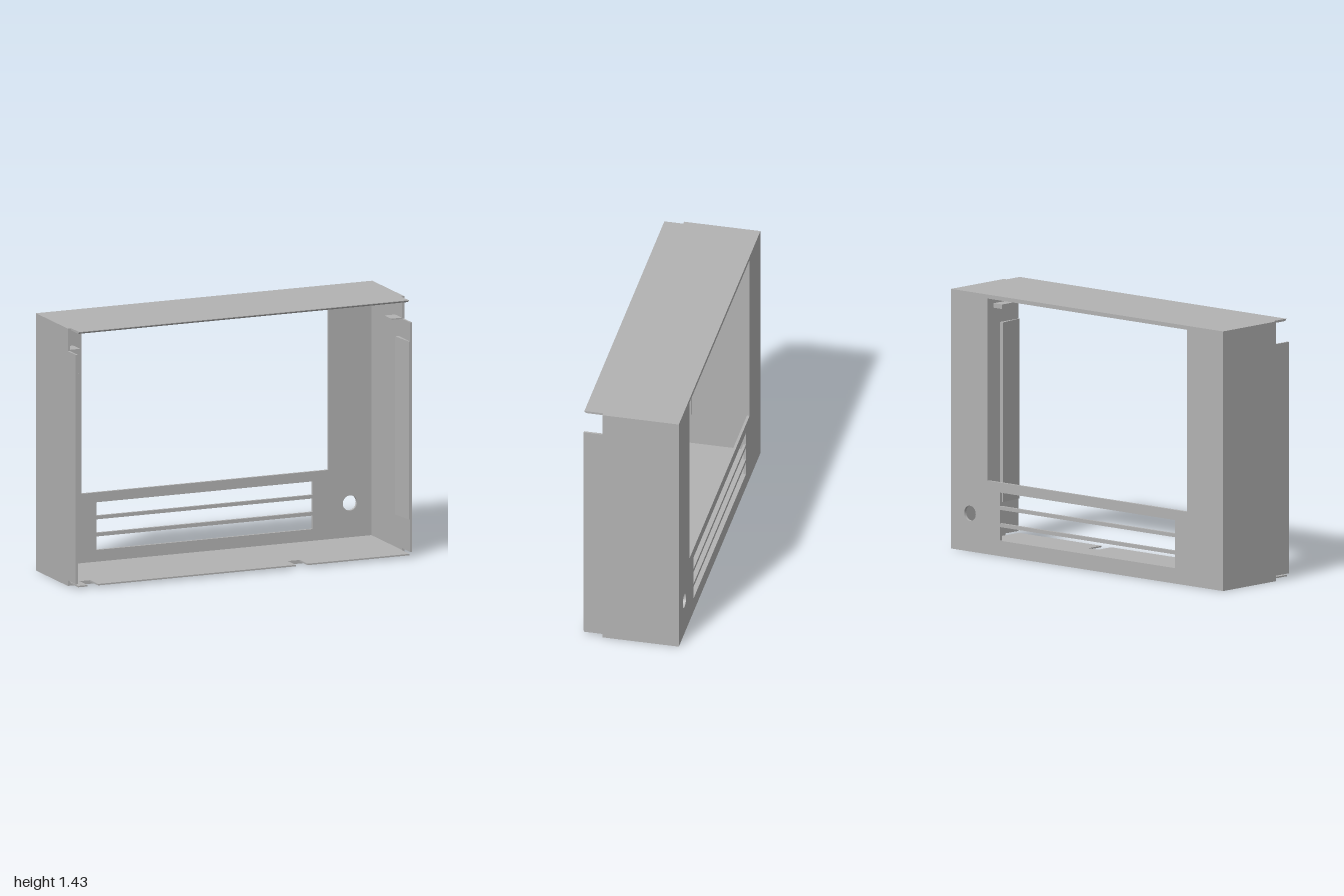
import * as THREE from 'three';

const W = 1, H = 1.43, D = 0.265; // half width, height, half depth
const T = 0.012;                  // wall thickness
const STEP = 0.16;                // where the full-height shell ends

export function createModel() {
  const group = new THREE.Group();
  const grey = new THREE.MeshStandardMaterial({ color: 0xb2b2b2 });
  grey.name = 'plainGrey';

  const add = (name, geometry) => {
    const mesh = new THREE.Mesh(geometry, grey);
    mesh.name = name;
    group.add(mesh);
    return mesh;
  };
  // Box given by its extents on each axis
  const box = (name, x0, x1, y0, y1, z0, z1) => {
    const g = new THREE.BoxGeometry(Math.abs(x1 - x0), y1 - y0, z1 - z0);
    g.translate((x0 + x1) / 2, (y0 + y1) / 2, (z0 + z1) / 2);
    return add(name, g);
  };
  const extrude = (points, depth) => new THREE.ExtrudeGeometry(
    new THREE.Shape(points.map(([a, b]) => new THREE.Vector2(a, b))),
    { depth, bevelEnabled: false });
  // Profile in (z, y), extruded along x from x0 to x1
  const alongX = (name, points, x0, x1) => {
    const g = extrude(points.map(([z, y]) => [-z, y]), x1 - x0);
    g.rotateY(Math.PI / 2).translate(x0, 0, 0);
    return add(name, g);
  };

  // Back panel with screen opening, vent slots and round hole
  const panel = new THREE.Shape();
  panel.moveTo(-W, 0).lineTo(W, 0).lineTo(W, H).lineTo(-W, H).closePath();
  const cutRect = (x0, x1, y0, y1) => {
    const hole = new THREE.Path();
    hole.moveTo(x0, y0).lineTo(x0, y1).lineTo(x1, y1).lineTo(x1, y0).closePath();
    panel.holes.push(hole);
  };
  cutRect(-0.735, 0.733, 0.405, 1.408);
  for (const y of [0.085, 0.18, 0.275]) cutRect(-0.645, 0.64, y, y + 0.075);
  const round = new THREE.Path();
  round.absarc(0.86, 0.21, 0.042, 0, Math.PI * 2, true);
  panel.holes.push(round);
  const back = new THREE.ExtrudeGeometry(panel, { depth: 0.015, bevelEnabled: false, curveSegments: 24 });
  back.translate(0, 0, -D);
  add('backPanel', back);

  // Top and bottom walls
  const zIn = -D + 0.015;
  box('topWall', -W, W, H - T, H, zIn, STEP);
  box('bottomWall', -W, W, 0, 0.02, zIn, STEP);

  // Top lip with a chamfered front edge
  alongX('topLip', [[STEP, H - T], [0.255, H - T], [D, H - 0.003], [D, H], [STEP, H]], -0.98, 0.98);

  // Bottom lip, broken by two notches
  for (const [x0, x1] of [[-0.985, -0.93], [-0.867, 0.308], [0.378, 0.985]])
    box('bottomLip', x0, x1, 0.012, 0.02, STEP, D);

  for (const s of [1, -1]) {
    // Side wall and its shorter front flange
    box('sideWall', s * (W - T), s * W, 0.02, H - T, zIn, STEP);
    box('sideFlange', s * (W - T), s * W, 0.03, 1.305, STEP, D);

    // Wedge-shaped guide rail inside the side wall
    const rail = extrude([
      [s * (W - T), 0.115], [s * 0.966, 0.115], [s * 0.982, D], [s * (W - T), D],
    ], 0.99);
    rail.rotateX(Math.PI / 2); // profile plane becomes x-z, depth runs down
    rail.translate(0, 1.2, 0);
    add('guideRail', rail);

    // Small hook with a sloping underside
    const a = s * 0.925, b = s * (W - T);
    alongX('cornerHook', [[0.065, 1.285], [0.155, 1.303], [0.155, 1.31], [0.065, 1.31]],
      Math.min(a, b), Math.max(a, b));
  }
  return group;
}
